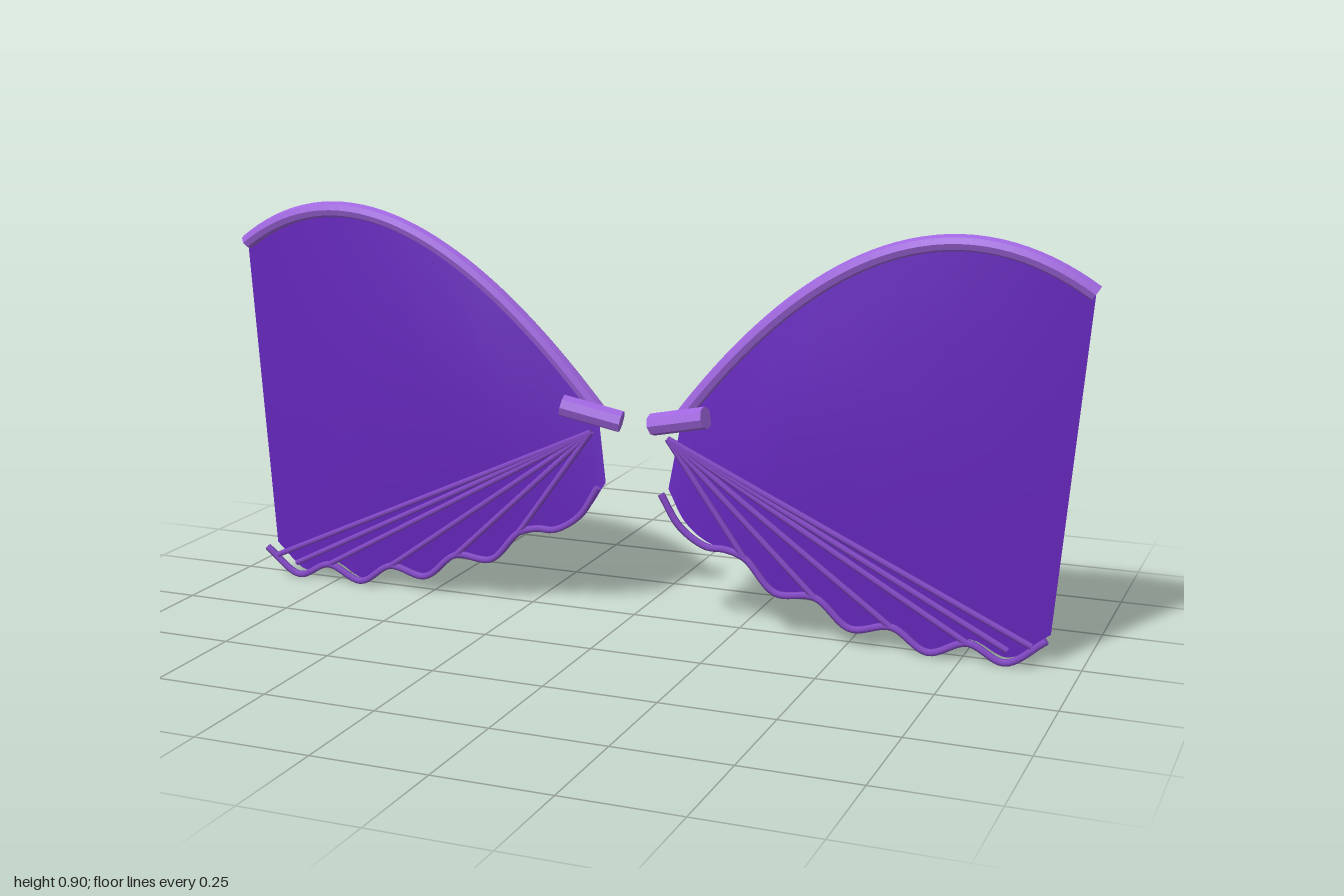
import * as THREE from 'three';
import { ParametricGeometry } from 'three/addons/geometries/ParametricGeometry.js';

const V = (x, y, z) => new THREE.Vector3(x, y, z);

export function createModel() {
  const model = new THREE.Group();
  model.name = 'wings';

  const skin = new THREE.MeshStandardMaterial({ color: 0x6426ba, side: THREE.DoubleSide });
  const bone = new THREE.MeshStandardMaterial({ color: 0xa066e0, flatShading: true });
  const vein = new THREE.MeshStandardMaterial({ color: 0x8248c4 });

  // Scalloped lower edge, from the body to the tip
  const scallops = [
    [0.075, 0.30], [0.12, 0.23], [0.18, 0.192], [0.225, 0.19], [0.27, 0.175], [0.34, 0.105],
    [0.43, 0.105], [0.51, 0.045], [0.60, 0.06], [0.68, 0.014], [0.765, 0.045], [0.845, 0.012], [0.93, 0.07],
  ];
  // Where the ribs meet the lower edge
  const ribEnds = [[0.9, 0.055], [0.85, 0.04], [0.765, 0.045], [0.6, 0.06], [0.43, 0.105], [0.27, 0.175]];

  // Closed tube along a curve
  function rod(name, curve, radius, segments, sides, material) {
    const group = new THREE.Group();
    group.name = name;
    group.add(new THREE.Mesh(new THREE.TubeGeometry(curve, segments, radius, sides), material));
    for (const t of [0, 1]) {
      const cap = new THREE.Mesh(new THREE.CircleGeometry(radius, sides), material);
      const out = curve.getTangentAt(t).multiplyScalar(t ? 1 : -1);
      cap.position.copy(curve.getPointAt(t));
      cap.quaternion.setFromUnitVectors(V(0, 0, 1), out);
      group.add(cap);
    }
    group.children.forEach((m) => { m.name = name; });
    return group;
  }

  for (const s of [1, -1]) {
    const wing = new THREE.Group();
    wing.name = s > 0 ? 'leftWing' : 'rightWing';

    // Leading arm
    const top = new THREE.QuadraticBezierCurve3(
      V(s * 0.1, 0.46, -0.032), V(s * 0.58, 1.08, 0.033), V(s * 0.987, 0.792, -0.028));
    wing.add(rod('arm', top, 0.018, 40, 8, bone));

    // Root stub beside the body
    const root = new THREE.LineCurve3(V(s * 0.037, 0.443, -0.015), V(s * 0.17, 0.474, 0.006));
    wing.add(rod('rootStub', root, 0.025, 1, 8, bone));

    // Membrane lofted from the arm to the lower edge, bowed forward in the middle
    const hem = new THREE.CatmullRomCurve3(scallops.map(([x, y]) => V(s * x, y, 0.03)));
    const membrane = new ParametricGeometry((u, v, target) => {
      const a = top.getPoint(u);
      const b = hem.getPoint(u);
      b.z = -0.016 + 0.14 * u * (1 - u);
      target.lerpVectors(a, b, v);
      target.z += 0.016 * Math.sin(Math.PI * u) * Math.sin(Math.PI * v);
    }, 72, 16);
    const sheet = new THREE.Mesh(membrane, skin);
    sheet.name = 'membrane';
    wing.add(sheet);

    // Trim along the scallops
    wing.add(rod('hemTrim', hem, 0.008, 96, 6, vein));

    // Fan of ribs
    for (const [x, y] of ribEnds) {
      const line = new THREE.LineCurve3(V(s * 0.09, 0.425, 0.03), V(s * x, y, 0.032));
      wing.add(rod('rib', line, 0.007, 1, 6, vein));
    }
    model.add(wing);
  }
  return model;
}
